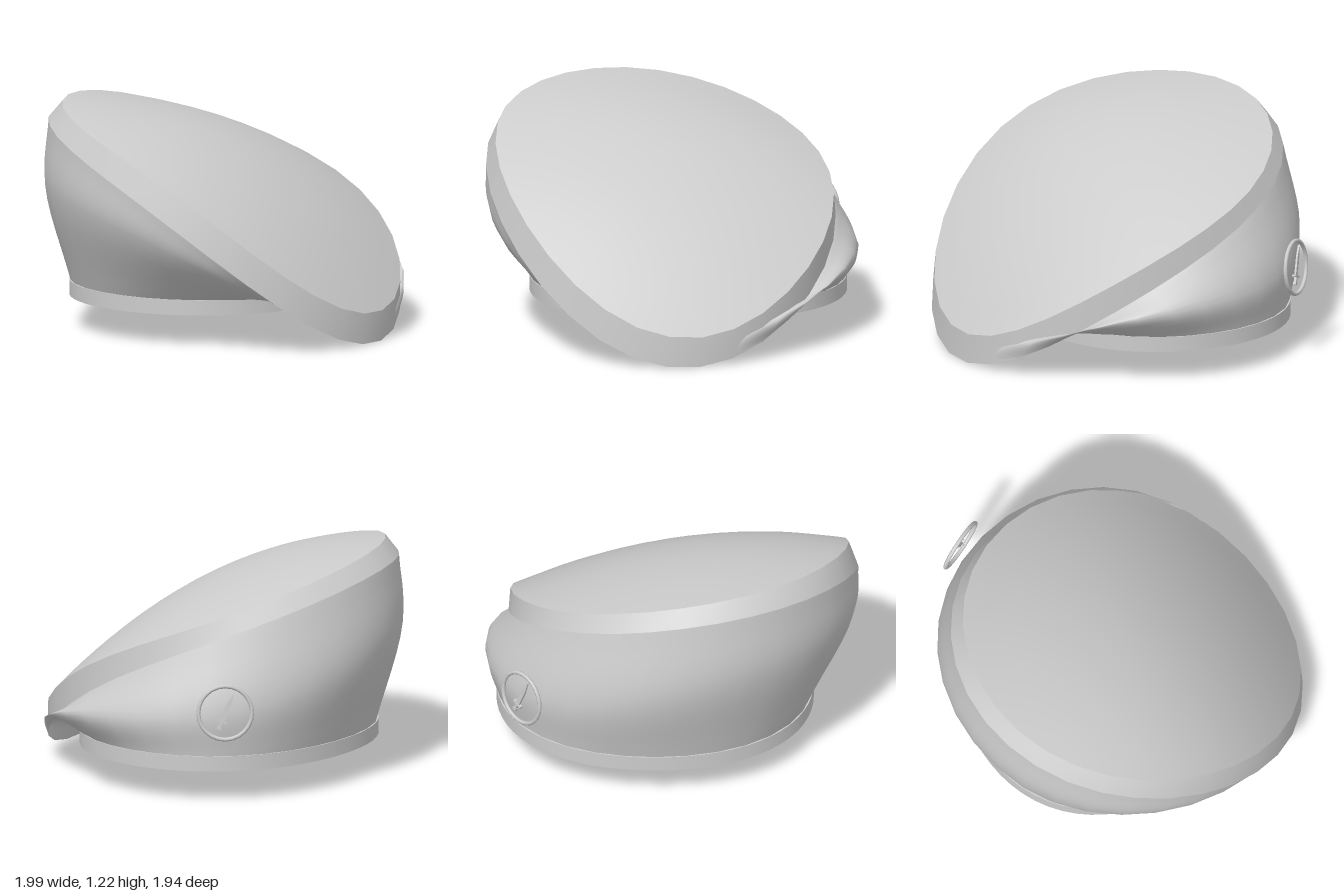
import * as THREE from 'three';
import { mergeVertices, toCreasedNormals } from 'three/addons/utils/BufferGeometryUtils.js';

const SEG = 32;

// A tilted, bent oval: centre, radii, then height terms (mean, front, left, saddle, twist, warp)
const oval = (cx, cz, rx, rz, h, front, left, saddle, twist, warp) => (t, r = 1) => {
  const s = Math.sin(t), c = Math.cos(t);
  return new THREE.Vector3(
    cx + r * rx * s,
    h + r * (front * c + left * s) + r * r * (saddle * Math.cos(2 * t) + twist * Math.sin(2 * t)) + r ** 3 * warp * s * s * c,
    cz + r * rz * c);
};

const crownEdge = oval(-0.045, 0.06, 0.905, 0.905, 0.78, -0.51, -0.145, -0.097, 0, 0.1);
const rimEdge = oval(-0.065, 0.026, 0.935, 0.942, 0.655, -0.55, -0.14, -0.095, 0, 0.08);
const bulge = oval(0.003, -0.03, 0.99, 0.94, 0.485, -0.285, -0.125, -0.07, 0.05, 0.11);

// Head opening: a level oval, slightly fuller on the diagonals
const opening = (t, r = 1) => {
  const k = r * (1 + 0.025 * Math.sin(2 * t) ** 2);
  return new THREE.Vector3(0.087 + k * 0.842 * Math.sin(t), 0.25, -0.13 + k * 0.729 * Math.cos(t));
};

// Smooth skin over rows of points; point(t, v) runs from the top (v = 0) downwards
function loft(rows, point) {
  const pos = [], index = [];
  const closedTop = point(0, 0).distanceTo(point(1, 0)) < 1e-6;
  for (let i = 0; i <= rows; i++) {
    for (let j = 0; j < SEG; j++) {
      const p = point(j / SEG * Math.PI * 2, i / rows);
      pos.push(p.x, p.y, p.z);
      if (i === rows) continue;
      const k = (j + 1) % SEG, a = i * SEG, b = a + SEG;
      if (i > 0 || !closedTop) index.push(a + j, b + j, a + k);
      index.push(a + k, b + j, b + k);
    }
  }
  let geo = new THREE.BufferGeometry();
  geo.setAttribute('position', new THREE.Float32BufferAttribute(pos, 3));
  geo.setIndex(index);
  geo = mergeVertices(geo, 1e-5);
  geo.computeVertexNormals();
  return geo;
}

export function createModel() {
  const model = new THREE.Group();
  model.name = 'beret';
  const felt = new THREE.MeshStandardMaterial({ color: 0xcccccc, side: THREE.DoubleSide });
  felt.name = 'grey felt';

  const add = (name, geo, parent = model) => {
    const mesh = new THREE.Mesh(geo, felt);
    mesh.name = name;
    parent.add(mesh);
    return mesh;
  };

  // Domed crown drooping to the front, fuller towards the front
  add('crown', loft(12, (t, v) => {
    const p = crownEdge(t, v);
    p.y += (1 - v * v) * (0.25 + 0.11 * v * Math.cos(t));
    return p;
  }));

  // Narrow band round the crown
  add('rim', loft(1, (t, v) => crownEdge(t).lerp(rimEdge(t), v)));

  // Bulging side wall down to the head opening
  add('sideWall', loft(12, (t, v) =>
    new THREE.CatmullRomCurve3([rimEdge(t), bulge(t), opening(t)]).getPoint(v)));

  // Headband
  const outline = r => Array.from({ length: 2 * SEG }, (_, i) => {
    const p = opening(i / SEG * Math.PI, r);
    return new THREE.Vector2(p.x, -p.z);
  });
  const ring = new THREE.Shape(outline(1.008));
  ring.holes.push(new THREE.Path(outline(0.975)));
  const band = new THREE.ExtrudeGeometry(ring, { depth: 0.083, bevelEnabled: false });
  band.rotateX(-Math.PI / 2).translate(0, 0.17, 0);
  add('headband', toCreasedNormals(band, 0.6));

  // Badge: open ring holding a small dagger
  const badge = new THREE.Group();
  badge.name = 'badge';
  badge.position.set(0.805, 0.51, -0.67);
  badge.lookAt(0.805 + 0.75, 0.51 + 0.08, -0.67 - 0.67);
  model.add(badge);
  add('badgeRing', new THREE.TorusGeometry(0.144, 0.011, 8, 24), badge);

  const dagger = new THREE.Group();
  dagger.name = 'dagger';
  dagger.rotation.z = -0.42;
  badge.add(dagger);
  const blade = new THREE.Shape([[-0.013, -0.045], [0.013, -0.045], [0.011, 0.06], [0, 0.12], [-0.011, 0.06]]
    .map(([x, y]) => new THREE.Vector2(x, y)));
  add('blade', new THREE.ExtrudeGeometry(blade, { depth: 0.01, bevelEnabled: false }), dagger);
  add('guard', new THREE.BoxGeometry(0.06, 0.012, 0.018), dagger).position.set(0, -0.048, 0.005);
  add('grip', new THREE.BoxGeometry(0.014, 0.035, 0.014), dagger).position.set(0, -0.068, 0.005);
  add('pommel', new THREE.BoxGeometry(0.024, 0.012, 0.018), dagger).position.set(0, -0.088, 0.005);

  return model;
}
